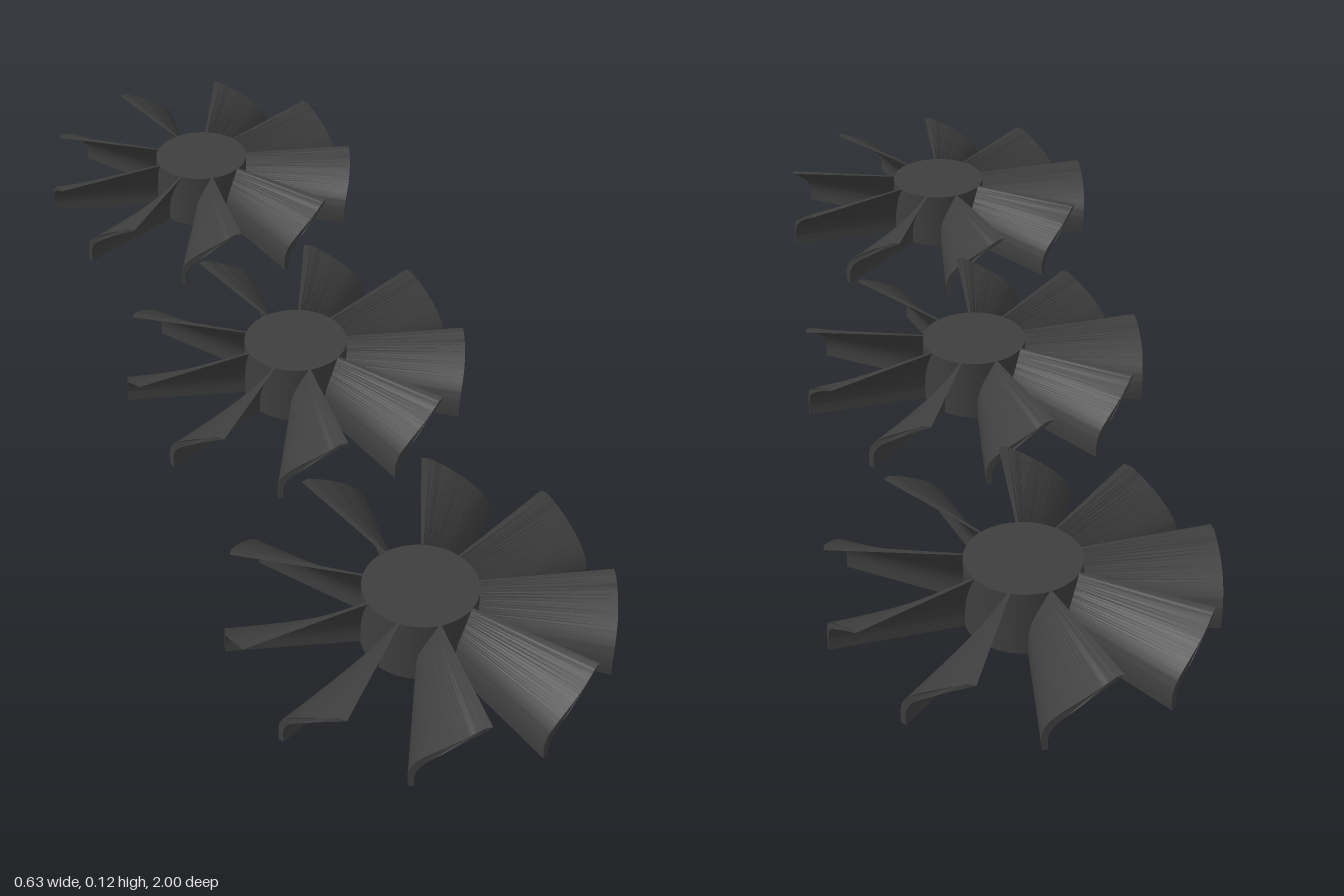
import * as THREE from 'three';
import { toCreasedNormals } from 'three/addons/utils/BufferGeometryUtils.js';

const HUB_R = 0.095, TIP_R = 0.315, HEIGHT = 0.115, BLADES = 9, SPACING = 0.685;
const rad = THREE.MathUtils.degToRad;

// One curved blade: a hooked section drawn in (angle, height), swept along the radius
function bladeGeometry() {
  const points = (list) => list.map(([deg, y]) => new THREE.Vector2(rad(deg), y));
  const shape = new THREE.Shape();
  shape.moveTo(rad(-22.5), 0);
  // outer, convex face going up
  shape.splineThru(points([[-22.7, 0.025], [-21.3, 0.048], [-17.5, 0.068], [-10.5, 0.092], [-2.6, HEIGHT]]));
  shape.lineTo(0, HEIGHT);
  // inner, concave face going down
  shape.splineThru(points([[-8, 0.091], [-15.2, 0.064], [-19.2, 0.044], [-20.9, 0.022], [-20.8, 0]]));
  shape.closePath();

  const inner = HUB_R - 0.01;
  const geo = new THREE.ExtrudeGeometry(shape, {
    depth: TIP_R - inner, steps: 1, bevelEnabled: false, curveSegments: 6,
  });
  // wrap the sweep around the axis so the blade widens towards its tip
  const pos = geo.attributes.position;
  for (let i = 0; i < pos.count; i++) {
    const a = pos.getX(i), r = pos.getZ(i) + inner;
    pos.setXYZ(i, r * Math.sin(a), pos.getY(i), r * Math.cos(a));
  }
  return toCreasedNormals(geo, rad(35));
}

export function createModel() {
  const model = new THREE.Group();
  model.name = 'fanRow';
  const material = new THREE.MeshStandardMaterial({ color: 0x3e3e3e });
  const blade = bladeGeometry();
  const hubGeo = new THREE.CylinderGeometry(HUB_R, HUB_R, HEIGHT, 64);

  for (const [i, name] of ['backFan', 'middleFan', 'frontFan'].entries()) {
    const fan = new THREE.Group();
    fan.name = name;
    fan.position.z = (i - 1) * SPACING;

    const hub = new THREE.Mesh(hubGeo, material);
    hub.name = 'hub';
    hub.position.y = HEIGHT / 2;
    fan.add(hub);

    // evenly spaced ring of blades
    for (let b = 0; b < BLADES; b++) {
      const mesh = new THREE.Mesh(blade, material);
      mesh.name = 'blade' + (b + 1);
      mesh.rotation.y = (b / BLADES) * Math.PI * 2;
      fan.add(mesh);
    }
    model.add(fan);
  }
  return model;
}
